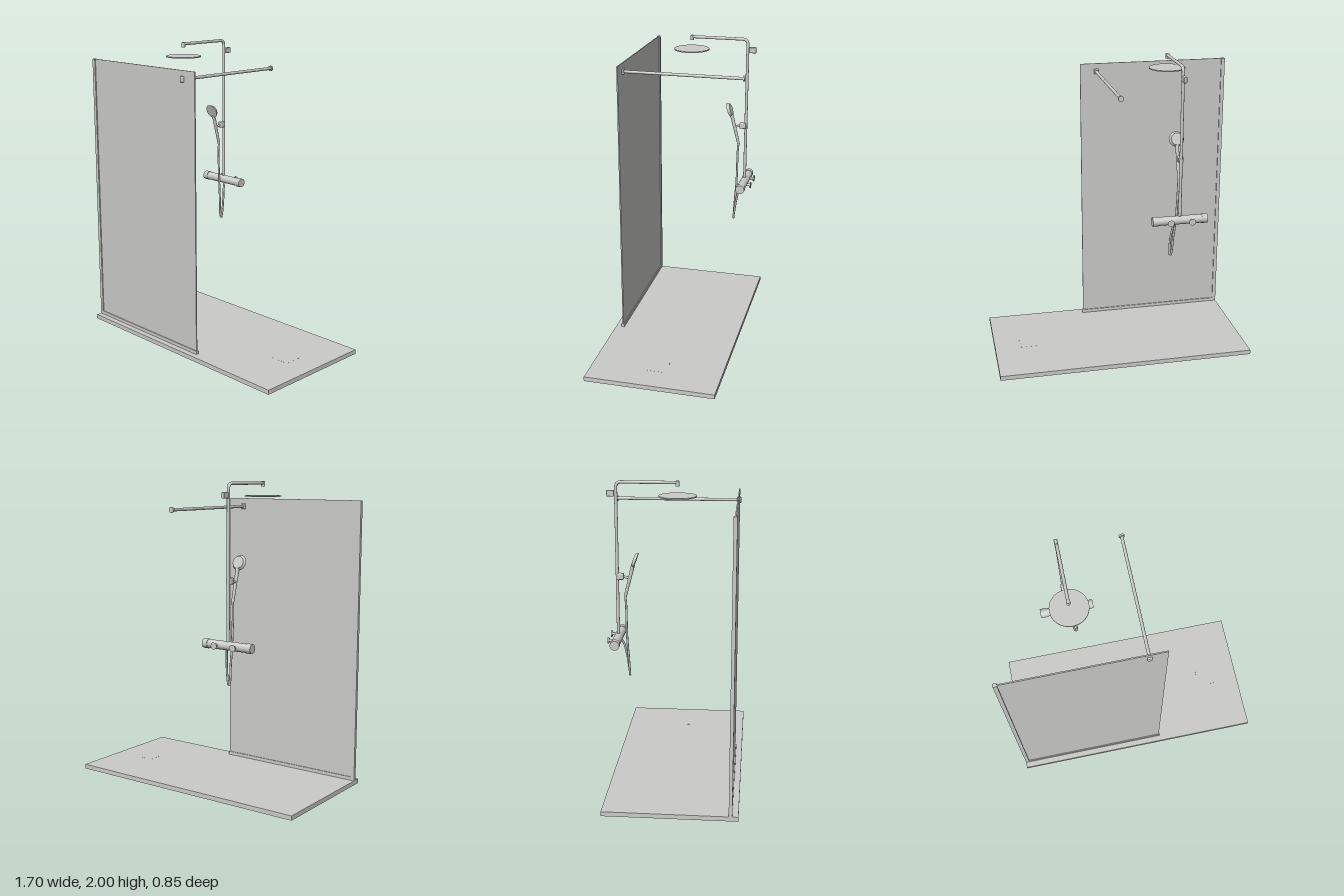
import * as THREE from 'three';
import { RoundedBoxGeometry } from 'three/addons/geometries/RoundedBoxGeometry.js';

const grey = new THREE.MeshStandardMaterial({ color: 0xcbcbc8 });
grey.name = 'light grey';

const V = (x, y, z) => new THREE.Vector3(x, y, z);

function add(parent, name, geometry, x = 0, y = 0, z = 0) {
  const mesh = new THREE.Mesh(geometry, grey);
  mesh.name = name;
  mesh.position.set(x, y, z);
  parent.add(mesh);
  return mesh;
}

// Box given by its lower and upper corners
function box(parent, name, a, b) {
  return add(parent, name, new THREE.BoxGeometry(b[0] - a[0], b[1] - a[1], b[2] - a[2]),
    (a[0] + b[0]) / 2, (a[1] + b[1]) / 2, (a[2] + b[2]) / 2);
}

// Round bar between two points, optionally tapered
function rod(parent, name, a, b, ra, rb = ra, sides = 28) {
  const dir = b.clone().sub(a);
  const mesh = add(parent, name, new THREE.CylinderGeometry(rb, ra, dir.length(), sides));
  mesh.position.copy(a).add(b).multiplyScalar(0.5);
  mesh.quaternion.setFromUnitVectors(V(0, 1, 0), dir.normalize());
  return mesh;
}

function makeTray() {
  const g = new THREE.Group();
  g.name = 'showerTray';
  box(g, 'trayBase', [-0.85, 0, -0.425], [0.85, 0.03, 0.425]);
  box(g, 'drainCover', [0.55, 0.029, -0.064], [0.677, 0.0305, 0.064]);
  return g;
}

function makeScreen() {
  const g = new THREE.Group();
  g.name = 'glassScreen';
  box(g, 'glassPanel', [-0.835, 0.035, 0.372], [0.165, 1.88, 0.38]);
  box(g, 'wallProfile', [-0.85, 0.03, 0.365], [-0.825, 1.88, 0.387]);
  box(g, 'bottomRail', [-0.84, 0.03, 0.366], [0.17, 0.053, 0.386]);
  // Stabilising bar from the glass to the wall
  rod(g, 'supportBar', V(0.055, 1.825, -0.42), V(0.055, 1.825, 0.37), 0.01);
  rod(g, 'supportBarFlange', V(0.055, 1.825, -0.425), V(0.055, 1.825, -0.413), 0.018);
  add(g, 'glassClamp', new RoundedBoxGeometry(0.03, 0.038, 0.03, 3, 0.006), 0.055, 1.825, 0.376);
  return g;
}

function makeColumn() {
  const g = new THREE.Group();
  g.name = 'showerColumn';
  const x = -0.342, z = -0.368;

  // Riser pipe with rounded bend into the overhead arm
  const path = new THREE.CurvePath();
  path.add(new THREE.LineCurve3(V(x, 1.0, z), V(x, 1.955, z)));
  path.add(new THREE.QuadraticBezierCurve3(V(x, 1.955, z), V(x, 1.99, z), V(x, 1.99, z + 0.035)));
  path.add(new THREE.LineCurve3(V(x, 1.99, z + 0.035), V(x, 1.99, 0.01)));
  add(g, 'riserPipe', new THREE.TubeGeometry(path, 160, 0.01, 16));
  rod(g, 'armOutlet', V(x, 1.968, 0.01), V(x, 2.0, 0.01), 0.012);
  add(g, 'overheadShower', new THREE.CylinderGeometry(0.117, 0.117, 0.007, 64), x, 1.908, 0.011);

  // Wall bracket and hand shower slider
  add(g, 'wallBracket', new RoundedBoxGeometry(0.022, 0.038, 0.047, 3, 0.005), x, 1.92, -0.4015);
  add(g, 'handShowerSlider', new RoundedBoxGeometry(0.034, 0.04, 0.044, 3, 0.007), x, 1.4, -0.348);
  rod(g, 'sliderHolder', V(x, 1.4, -0.34), V(x, 1.39, -0.29), 0.008);

  // Thermostatic valve: body, end knobs, wall connections
  rod(g, 'valveBody', V(-0.488, 1, z), V(-0.198, 1, z), 0.028);
  for (const s of [-1, 1]) {
    const end = x + s * 0.181;
    rod(g, 'valveKnob', V(end - s * 0.037, 1, z), V(end, 1, z), 0.031, 0.03);
    const wx = x + s * 0.07;
    rod(g, 'wallConnection', V(wx, 1, z - 0.02), V(wx, 1, -0.42), 0.009);
    rod(g, 'wallFlange', V(wx, 1, -0.416), V(wx, 1, -0.425), 0.018, 0.022);
  }

  // Hand shower: tapered handle and tilted round head
  const hand = new THREE.Group();
  hand.name = 'handShower';
  rod(hand, 'handShowerHandle', V(x, 1.265, -0.321), V(x, 1.475, -0.268), 0.009, 0.012);
  const head = add(hand, 'handShowerHead',
    new THREE.CylinderGeometry(0.049, 0.038, 0.018, 40).rotateX(Math.PI / 2), x, 1.507, -0.257);
  head.rotation.x = 0.35;
  g.add(hand);

  // Hose looping down from the handle and back to the valve
  const hose = new THREE.CatmullRomCurve3([
    V(x, 1.268, -0.32), V(x, 1.22, -0.316), V(-0.333, 1.0, -0.314), V(-0.318, 0.85, -0.307),
    V(-0.31, 0.75, -0.303), V(-0.302, 0.73, -0.303), V(-0.296, 0.76, -0.306),
    V(-0.298, 0.87, -0.321), V(-0.31, 0.95, -0.338), V(-0.32, 0.985, -0.355),
  ]);
  add(g, 'showerHose', new THREE.TubeGeometry(hose, 90, 0.007, 12));
  return g;
}

export function createModel() {
  const model = new THREE.Group();
  model.name = 'walkInShower';
  model.add(makeTray(), makeScreen(), makeColumn());
  return model;
}
